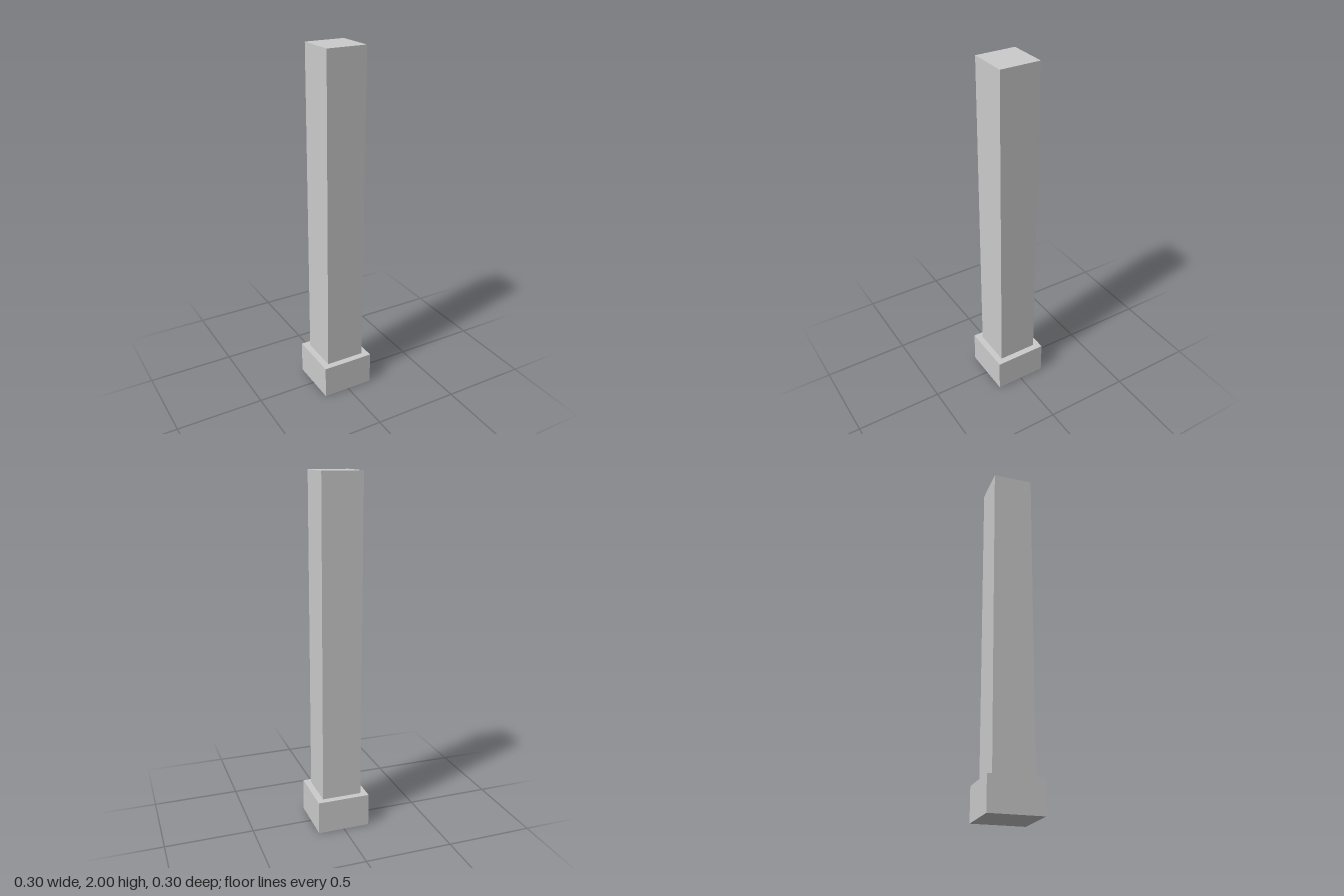
import * as THREE from 'three';

const BASE_HEIGHT = 0.19;
const TOTAL_HEIGHT = 2;

export function createModel() {
  const model = new THREE.Group();
  model.name = 'squareColumn';
  const material = new THREE.MeshStandardMaterial({ color: 0xcccccc, flatShading: true });

  // Square block standing between two heights
  function addBlock(name, width, bottom, top) {
    const block = new THREE.Mesh(new THREE.BoxGeometry(width, top - bottom, width), material);
    block.name = name;
    block.position.y = (bottom + top) / 2;
    model.add(block);
  }

  addBlock('base', 0.302, 0, BASE_HEIGHT);
  addBlock('shaft', 0.227, BASE_HEIGHT, TOTAL_HEIGHT);

  return model;
}
